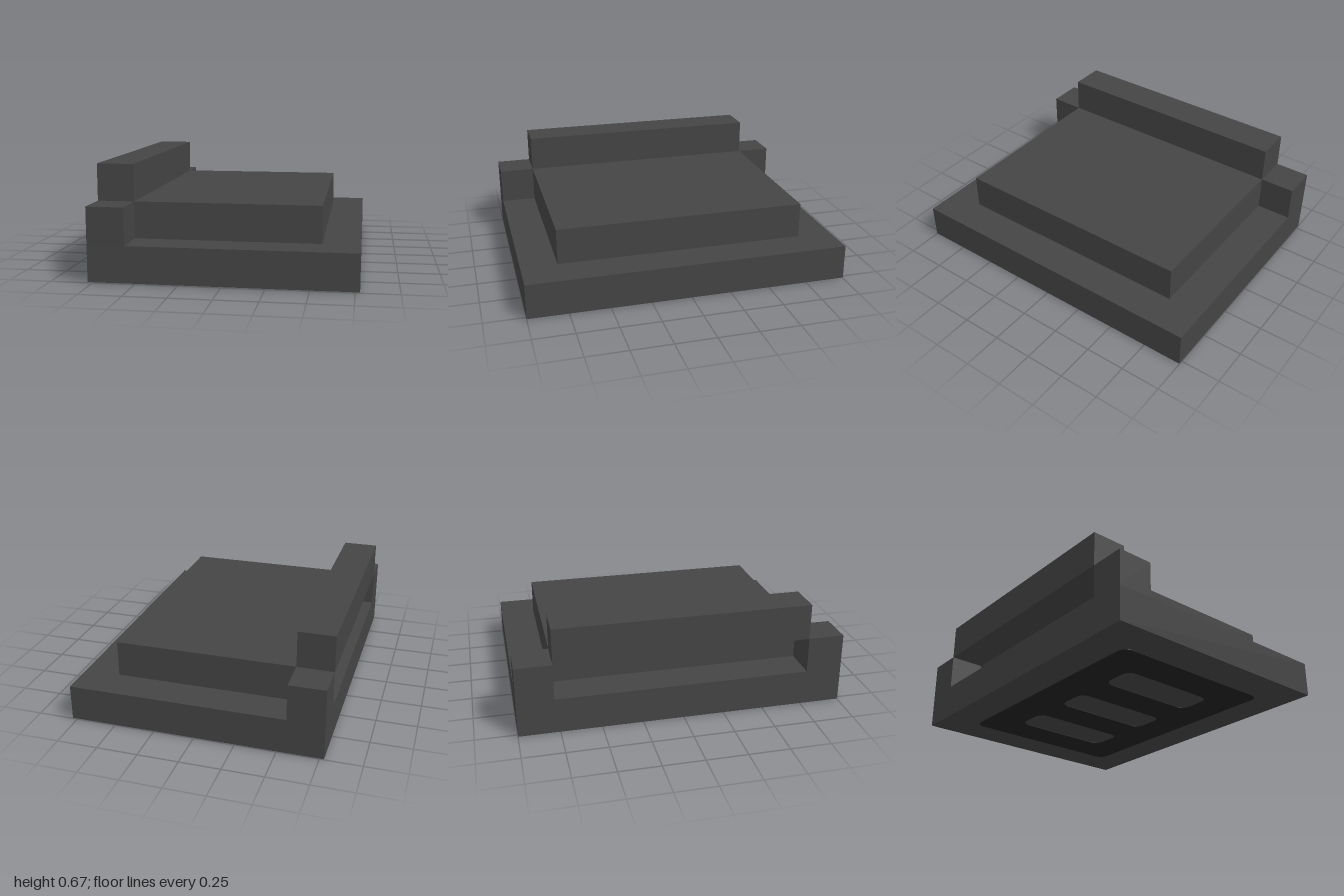
import * as THREE from 'three';

const U = 2 / 9; // modular unit shared by every step of the model
const PLATE = 0.004;

// Rounded rectangle outline centred on (cx, cy)
function roundedRect(target, cx, cy, w, h, r) {
  const x0 = cx - w / 2, x1 = cx + w / 2, y0 = cy - h / 2, y1 = cy + h / 2;
  target.moveTo(x0 + r, y0);
  target.lineTo(x1 - r, y0);
  target.absarc(x1 - r, y0 + r, r, -Math.PI / 2, 0);
  target.lineTo(x1, y1 - r);
  target.absarc(x1 - r, y1 - r, r, 0, Math.PI / 2);
  target.lineTo(x0 + r, y1);
  target.absarc(x0 + r, y1 - r, r, Math.PI / 2, Math.PI);
  target.lineTo(x0, y0 + r);
  target.absarc(x0 + r, y0 + r, r, Math.PI, Math.PI * 1.5);
  return target;
}

export function createModel() {
  const model = new THREE.Group();
  model.name = 'steppedBlock';

  const bodyGrey = new THREE.MeshStandardMaterial({ color: 0x444444 });
  bodyGrey.name = 'bodyGrey';
  const panelBlack = new THREE.MeshStandardMaterial({ color: 0x222222 });
  panelBlack.name = 'panelBlack';

  // Box given by its minimum and maximum corners
  function addBox(name, min, max) {
    const size = max.map((v, i) => v - min[i]);
    const mesh = new THREE.Mesh(new THREE.BoxGeometry(...size), bodyGrey);
    mesh.position.set(...max.map((v, i) => (v + min[i]) / 2));
    mesh.name = name;
    model.add(mesh);
  }

  const edge = 3.5 * U, inner = 2.5 * U, end = 4.5 * U;

  // Base plate and raised slab
  addBox('base', [-edge, PLATE, -end], [edge, U, end]);
  addBox('slab', [-inner, U, -edge], [inner, 2 * U, edge]);

  // Corner posts and the bar spanning the open slot between them
  addBox('rearPost', [-edge, U, -end], [-inner, 2 * U, -edge]);
  addBox('frontPost', [-edge, U, edge], [-inner, 2 * U, end]);
  addBox('bar', [-edge, 2 * U, -edge], [-inner, 3 * U, edge]);

  // Underside panel with three slots showing the base
  const outline = roundedRect(new THREE.Shape(), 0, 0, 5 * U, 7 * U, 0.06);
  for (const i of [-1, 0, 1]) {
    outline.holes.push(roundedRect(new THREE.Path(), 0, i * 2 * U, 3 * U, U, 0.06));
  }
  const panelGeometry = new THREE.ExtrudeGeometry(outline, {
    depth: PLATE, bevelEnabled: false, curveSegments: 6,
  });
  panelGeometry.rotateX(Math.PI / 2);
  panelGeometry.translate(0, PLATE, 0);
  const panel = new THREE.Mesh(panelGeometry, panelBlack);
  panel.name = 'undersidePanel';
  model.add(panel);

  return model;
}
